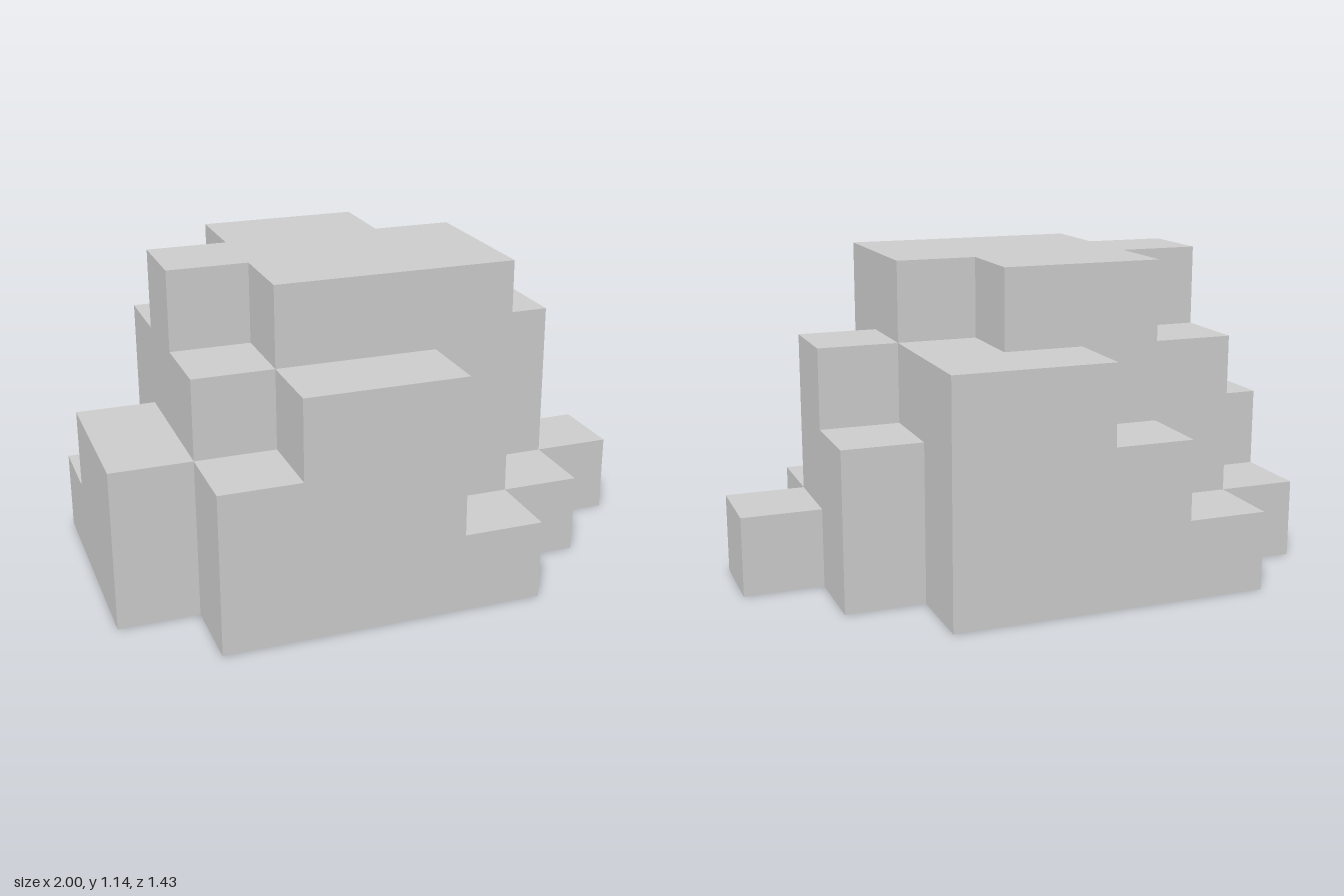
import * as THREE from 'three';
import { mergeGeometries } from 'three/addons/utils/BufferGeometryUtils.js';

const UNIT = 2 / 7;

// Column heights in blocks: rows run back to front, columns run -x to +x
const HEIGHTS = [
  [0, 1, 2, 3, 3, 0, 0],
  [1, 3, 4, 4, 3, 2, 0],
  [2, 4, 4, 4, 4, 3, 1],
  [2, 3, 4, 4, 4, 1, 0],
  [0, 2, 3, 3, 1, 0, 0],
];
const heightAt = (col, row) => HEIGHTS[row]?.[col] ?? 0;

// Flat cap of one column, facing up or down
function cap(x, y, z, up) {
  return new THREE.PlaneGeometry(1, 1)
    .rotateX(up ? -Math.PI / 2 : Math.PI / 2)
    .translate(x, y, z);
}

// Exposed wall of one column, facing (dx, dz), from low to high
function wall(x, z, dx, dz, low, high) {
  return new THREE.PlaneGeometry(1, high - low)
    .rotateY(Math.atan2(dx, dz))
    .translate(x + dx / 2, (low + high) / 2, z + dz / 2);
}

export function createModel() {
  const faces = { top: [], walls: [], base: [] };

  HEIGHTS.forEach((line, row) => line.forEach((h, col) => {
    if (!h) return;
    const x = col - 3, z = row - 2;
    faces.top.push(cap(x, h, z, true));
    faces.base.push(cap(x, 0, z, false));
    // Walls only where the neighbouring column is lower
    for (const [dx, dz] of [[1, 0], [-1, 0], [0, 1], [0, -1]]) {
      const low = heightAt(col + dx, row + dz);
      if (low < h) faces.walls.push(wall(x, z, dx, dz, low, h));
    }
  }));

  // Blocky boulder: stepped tops, walls and flat underside
  const boulder = new THREE.Group();
  boulder.name = 'boulder';
  const material = new THREE.MeshStandardMaterial({ color: 0xcccccc, flatShading: true });
  const names = { top: 'steppedTop', walls: 'blockWalls', base: 'flatBase' };
  for (const key in faces) {
    const geometry = mergeGeometries(faces[key]).scale(UNIT, UNIT, UNIT);
    const mesh = new THREE.Mesh(geometry, material);
    mesh.name = names[key];
    boulder.add(mesh);
  }
  return boulder;
}
